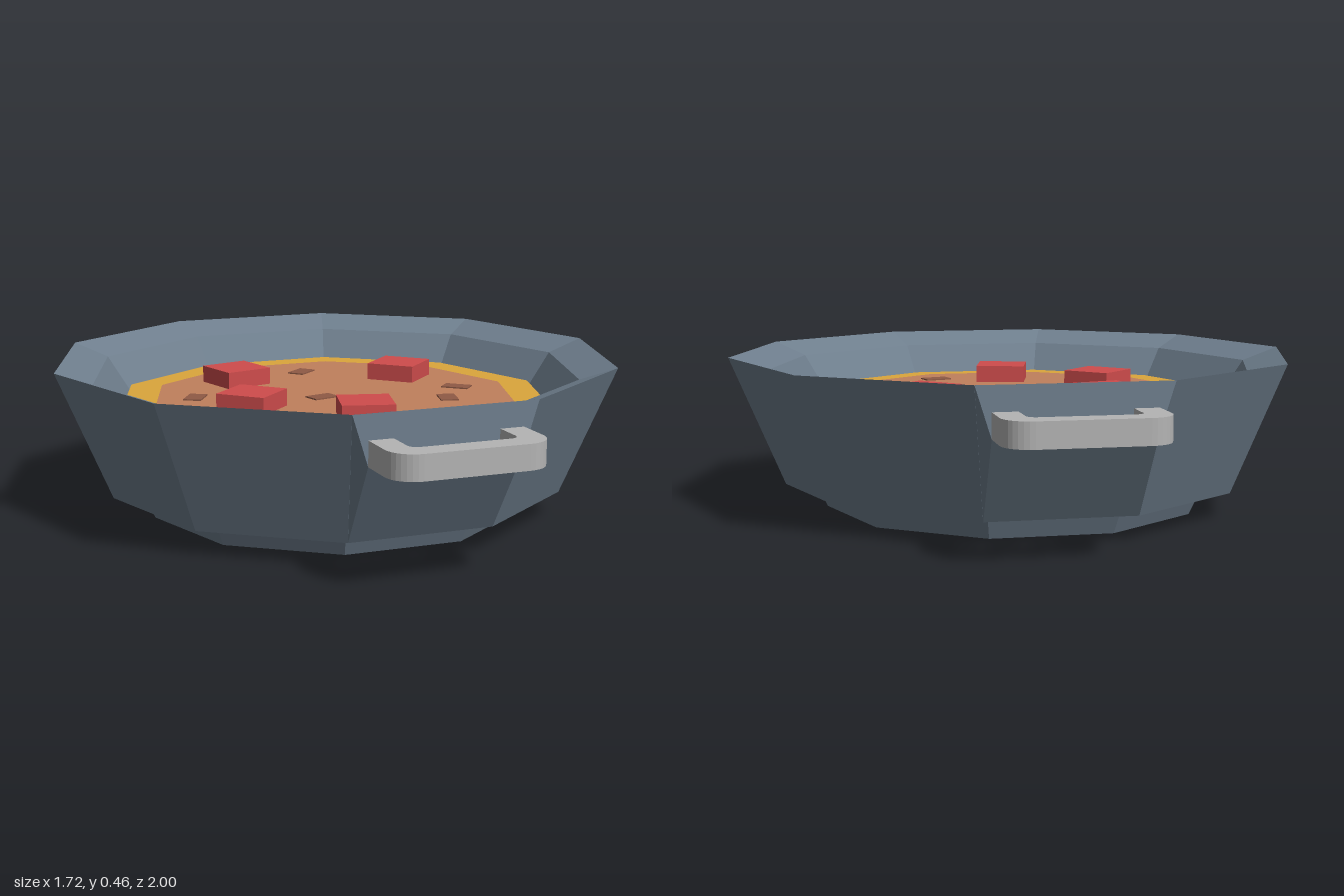
import * as THREE from 'three';
import { ConvexGeometry } from 'three/addons/geometries/ConvexGeometry.js';

const SIDES = 10;
const mat = (color) => new THREE.MeshStandardMaterial({ color, flatShading: true });
const IRON = mat(0x6f7f8e), STEEL = mat(0xb4b4b4), CRUST = mat(0xdba63c);
const FILLING = mat(0xc0805c), CHUNK = mat(0xcf4c4c), FLECK = mat(0x8f5a45);

// Ten-sided turned form with a corner on the +x axis
function turned(name, profile, material) {
  const points = profile.map(([r, y]) => new THREE.Vector2(r, y));
  const mesh = new THREE.Mesh(new THREE.LatheGeometry(points, SIDES, Math.PI / 2), material);
  mesh.name = name;
  return mesh;
}

function slab(name, w, h, d, x, y, z, degrees, material) {
  const mesh = new THREE.Mesh(new THREE.BoxGeometry(w, h, d), material);
  mesh.name = name;
  mesh.position.set(x, y + h / 2, z);
  mesh.rotation.y = THREE.MathUtils.degToRad(degrees);
  return mesh;
}

// Rounded U-shaped grip, drawn flat and then laid down
function handleGeometry() {
  const s = new THREE.Shape();
  const w = 0.222, i = 0.152, root = 0.79, tip = 1, inner = 0.93, R = 0.075, r = 0.025;
  s.moveTo(-w, root);
  s.lineTo(-i, root);
  s.lineTo(-i, inner - r);
  s.absarc(-i + r, inner - r, r, Math.PI, Math.PI / 2, true);
  s.absarc(i - r, inner - r, r, Math.PI / 2, 0, true);
  s.lineTo(i, root);
  s.lineTo(w, root);
  s.lineTo(w, tip - R);
  s.absarc(w - R, tip - R, R, 0, Math.PI / 2, false);
  s.absarc(-w + R, tip - R, R, Math.PI / 2, Math.PI, false);
  s.closePath();
  const geo = new THREE.ExtrudeGeometry(s, { depth: 0.07, bevelEnabled: false, curveSegments: 4 });
  return geo.rotateX(Math.PI / 2).translate(0, 0.39, 0);
}

export function createModel() {
  const model = new THREE.Group();
  model.name = 'filledPan';

  // Pan: foot, outer wall, sloped rim, inner wall and floor
  model.add(turned('pan', [
    [0, 0], [0.575, 0], [0.61, 0.073], [0.70, 0.073], [0.862, 0.46],
    [0.75, 0.42], [0.64, 0.26], [0, 0.26],
  ], IRON));

  // Handles with the upright pads they are fixed to, front and back
  const grip = handleGeometry();
  const padCorners = [];
  for (const [x, y, z] of [[0.266, 0.46, 0.82], [0.222, 0.32, 0.82], [0.216, 0.073, 0.666]]) {
    padCorners.push(new THREE.Vector3(x, y, z), new THREE.Vector3(-x, y, z));
  }
  const padGeo = new ConvexGeometry(padCorners);
  ['front', 'back'].forEach((side, k) => {
    const group = new THREE.Group();
    group.name = side + 'Handle';
    const bar = new THREE.Mesh(grip, STEEL);
    bar.name = side + 'Grip';
    const pad = new THREE.Mesh(padGeo, IRON);
    pad.name = side + 'HandlePad';
    group.add(bar, pad);
    group.rotation.y = k * Math.PI;
    model.add(group);
  });

  // Food: crust disc with the filling just proud of it
  model.add(turned('crust', [[0, 0.27], [0.64, 0.27], [0.672, 0.332], [0, 0.332]], CRUST));
  model.add(turned('filling', [[0.567, 0.332], [0.567, 0.336], [0, 0.336]], FILLING));

  // Red chunks: x, z, turn
  [[-0.225, -0.285, 15], [0.3, -0.19, 45], [-0.3, 0.105, 45], [-0.033, 0.34, -15]]
    .forEach(([x, z, a]) => model.add(slab('chunk', 0.155, 0.055, 0.155, x, 0.333, z, a, CHUNK)));

  // Thin dark flecks: x, z, turn
  [[0.03, -0.38, 42], [-0.415, -0.1, 60], [-0.05, 0.03, 15],
    [0.405, 0.03, -42], [0.305, 0.175, 75], [0.18, 0.385, 15]]
    .forEach(([x, z, a]) => model.add(slab('fleck', 0.085, 0.007, 0.055, x, 0.333, z, a, FLECK)));

  return model;
}
